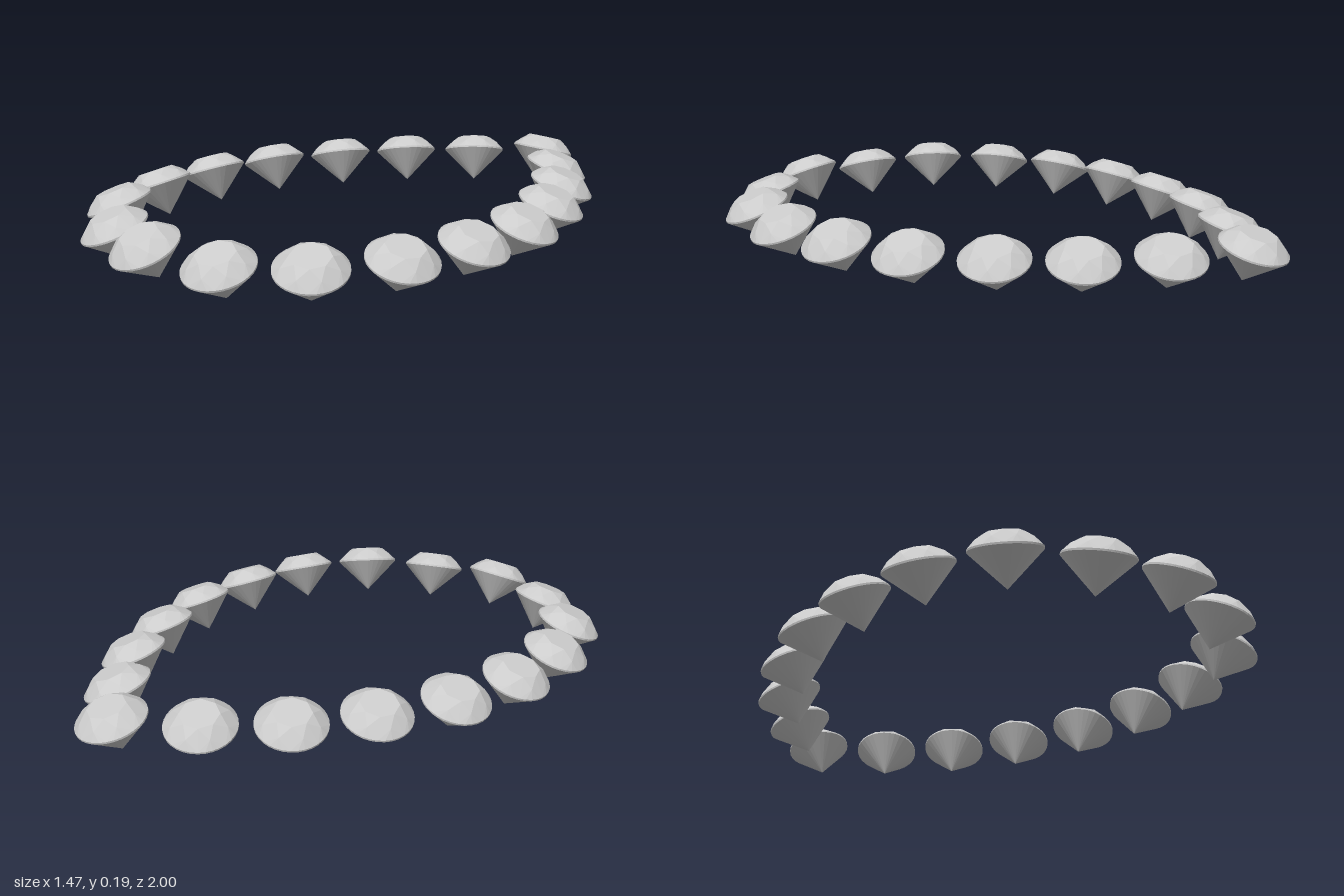
import * as THREE from 'three';
import { ConvexGeometry } from 'three/addons/geometries/ConvexGeometry.js';

// Points of a level ring: count, radius, height, angular offset
function ring(count, radius, y, offset = 0) {
  return Array.from({ length: count }, (_, i) => {
    const a = ((i + offset) / count) * Math.PI * 2;
    return new THREE.Vector3(Math.sin(a) * radius, y, Math.cos(a) * radius);
  });
}

// Round brilliant cut: table, star/kite corners, thin girdle, culet
function brilliantGeometry() {
  return new ConvexGeometry([
    ...ring(8, 0.06, 0.047),
    ...ring(8, 0.09, 0.0255, 0.5),
    ...ring(32, 0.11, 0.002),
    ...ring(32, 0.11, -0.004),
    new THREE.Vector3(0, -0.113, 0),
  ]);
}

export function createModel() {
  const necklace = new THREE.Group();
  necklace.name = 'gemLoop';
  const geometry = brilliantGeometry();
  const material = new THREE.MeshStandardMaterial({ color: 0xcccccc, flatShading: true });

  // Half of the teardrop loop, back tip to front: x, girdle height, z, outward tilt in degrees
  const half = [
    [0, 0.13, -0.9, 17],
    [0.2, 0.121, -0.733, 20],
    [0.376, 0.12, -0.54, 20],
    [0.508, 0.12, -0.32, 20],
    [0.603, 0.12, -0.075, 21],
    [0.63, 0.12, 0.183, 21],
    [0.595, 0.12, 0.44, 21],
    [0.478, 0.118, 0.677, 21],
    [0.265, 0.109, 0.831, 21],
    [0, 0.121, 0.897, 24],
  ];
  // Mirror the inner stones to close the loop
  const stones = [...half, ...half.slice(1, -1).reverse().map(([x, y, z, t]) => [-x, y, z, t])];

  const up = new THREE.Vector3(0, 1, 0);
  stones.forEach(([x, y, z, tilt], i) => {
    const before = stones[(i + stones.length - 1) % stones.length];
    const after = stones[(i + 1) % stones.length];
    // Lean each stone along the outward normal of the loop
    const outward = new THREE.Vector3(after[2] - before[2], 0, before[0] - after[0]).normalize();
    const t = THREE.MathUtils.degToRad(tilt);
    const axis = outward.multiplyScalar(Math.sin(t)).addScaledVector(up, Math.cos(t));

    const gem = new THREE.Mesh(geometry, material);
    gem.name = `gem${i + 1}`;
    gem.position.set(x, y, z);
    gem.quaternion.setFromUnitVectors(up, axis);
    necklace.add(gem);
  });
  return necklace;
}
